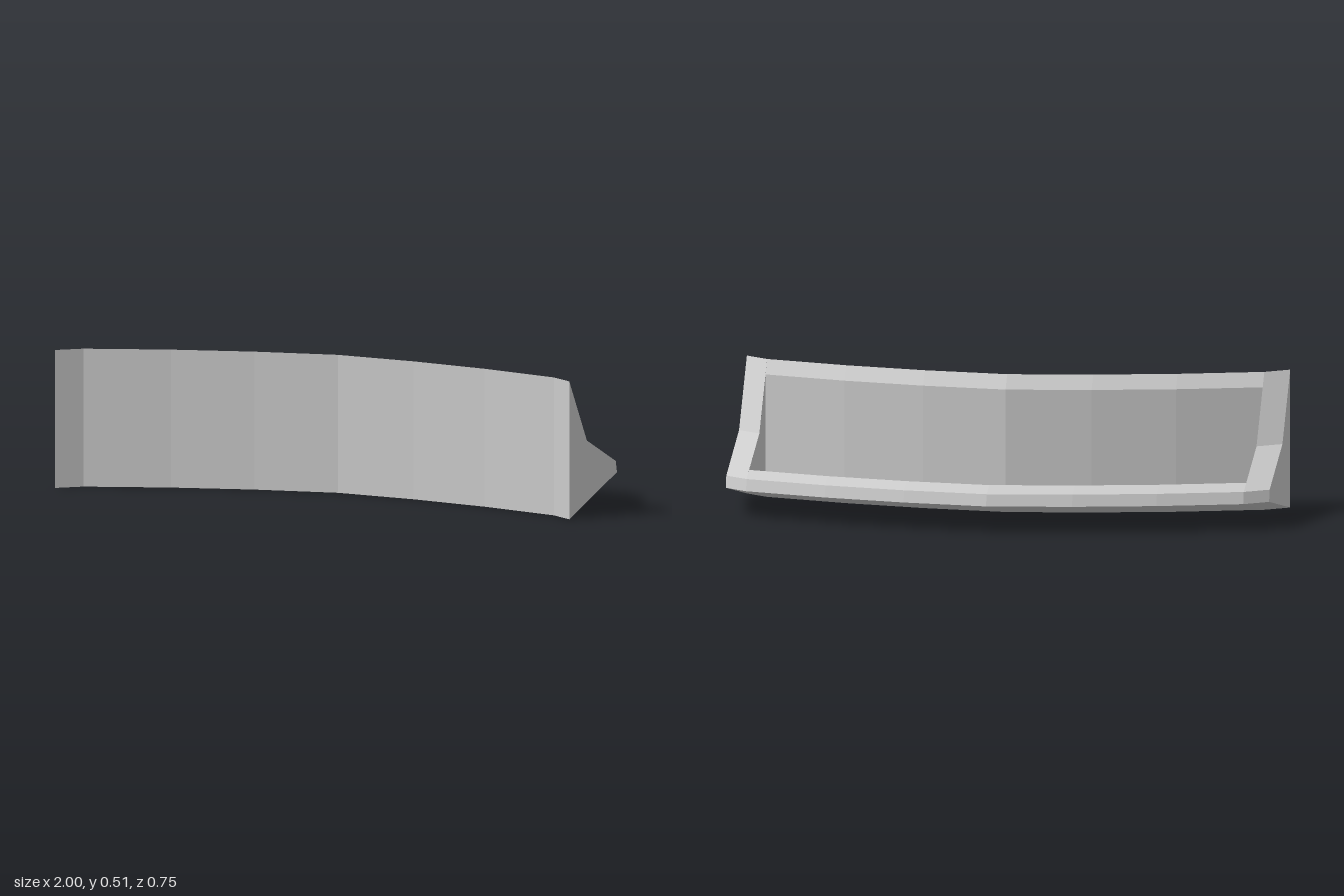
import * as THREE from 'three';

// Plan curve of the front face: [x, z] for one half
const HALF = [[0, 0.112], [0.31, 0.152], [0.61, 0.217], [0.915, 0.31], [1, 0.375]];
const mirrored = HALF.slice(1, 4).reverse().map(([x, z]) => [-x, z]);

// Section corners as [z behind the front face, y]
const A = [0, 0], B = [0, 0.508], C = [-0.18, 0.263], D = [-0.475, 0.143], E = [-0.487, 0.1];
const rimTop = [-0.036, 0.457], wallFoot = [-0.036, 0.083], floorFront = [-0.056, 0.062], floorBack = [-0.415, 0.167];

const TROUGH = [A, B, rimTop, wallFoot, floorFront, floorBack, D, E];
const END = [A, B, C, D, E];
const CAVITY_END = [floorFront, wallFoot, rimTop, C, floorBack];

const at = ([x, z], [dz, y]) => [x, y, z + dz];

// Skin between the same closed section placed at successive stations (x rising)
function loft(section, stations) {
  const out = [];
  for (let i = 0; i < stations.length - 1; i++) {
    section.forEach((p, j) => {
      const q = section[(j + 1) % section.length];
      const a0 = at(stations[i], p), a1 = at(stations[i + 1], p);
      const b0 = at(stations[i], q), b1 = at(stations[i + 1], q);
      out.push(...a0, ...a1, ...b1, ...a0, ...b1, ...b0);
    });
  }
  return out;
}

// Flat fan over a section, facing +x or -x
function cap(section, station, facing) {
  const out = [];
  for (let j = 1; j < section.length - 1; j++) {
    const p = at(station, section[j]), q = at(station, section[j + 1]);
    out.push(...at(station, section[0]), ...(facing < 0 ? [...p, ...q] : [...q, ...p]));
  }
  return out;
}

function mesh(name, positions, material) {
  const geometry = new THREE.BufferGeometry();
  geometry.setAttribute('position', new THREE.Float32BufferAttribute(positions, 3));
  geometry.computeVertexNormals();
  const m = new THREE.Mesh(geometry, material);
  m.name = name;
  return m;
}

export function createModel() {
  const group = new THREE.Group();
  group.name = 'curvedTrough';
  const material = new THREE.MeshStandardMaterial({ color: 0xcccccc, flatShading: true });

  // Hollow faceted body: front wall, sloping floor and back lip
  group.add(mesh('troughBody', loft(TROUGH, [...mirrored, ...HALF.slice(0, 4)]), material));

  // Solid end cheeks with the inner wall closing the hollow
  for (const side of [1, -1]) {
    const inner = [side * HALF[3][0], HALF[3][1]];
    const outer = [side * HALF[4][0], HALF[4][1]];
    group.add(mesh(side > 0 ? 'leftEnd' : 'rightEnd', [
      ...loft(END, side > 0 ? [inner, outer] : [outer, inner]),
      ...cap(END, outer, side),
      ...cap(CAVITY_END, inner, -side),
    ], material));
  }
  return group;
}
